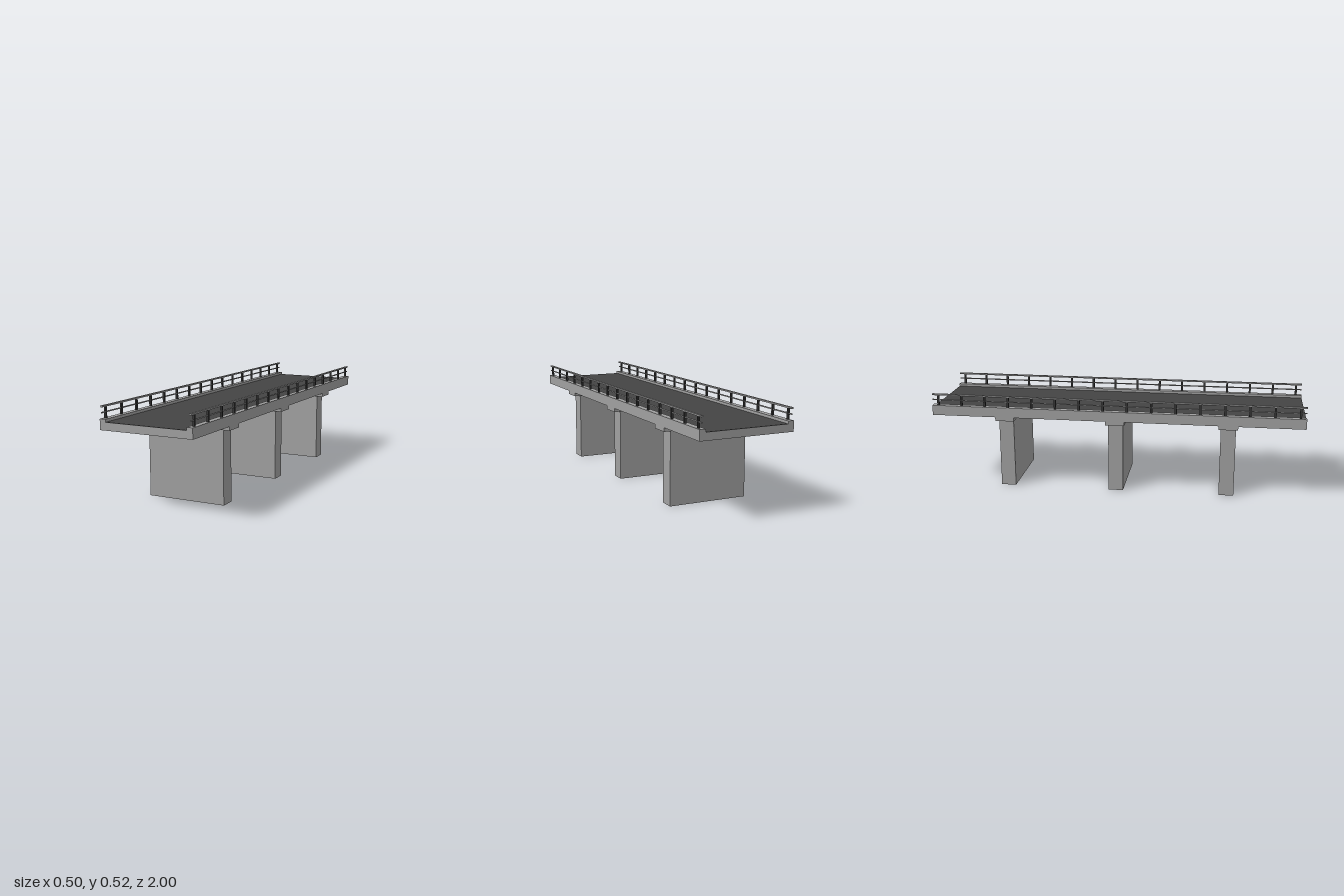
import * as THREE from 'three';

const concrete = new THREE.MeshStandardMaterial({ color: 0xa0a0a0 });
concrete.name = 'concrete';
const asphalt = new THREE.MeshStandardMaterial({ color: 0x444444 });
asphalt.name = 'asphalt';
const darkSteel = new THREE.MeshStandardMaterial({ color: 0x333333 });
darkSteel.name = 'darkSteel';

const LENGTH = 2;
const HALF_WIDTH = 0.252;
const RAIL_X = 0.2405;

// Box given by its base height, so parts stack directly.
function box(name, material, [w, h, d], [x, y, z]) {
  const mesh = new THREE.Mesh(new THREE.BoxGeometry(w, h, d), material);
  mesh.name = name;
  mesh.position.set(x, y + h / 2, z);
  return mesh;
}

// Cross-section in x and y, extruded along the whole bridge.
function alongBridge(name, material, points) {
  const shape = new THREE.Shape(points.map(([x, y]) => new THREE.Vector2(x, y)));
  const geometry = new THREE.ExtrudeGeometry(shape, { depth: LENGTH, bevelEnabled: false });
  geometry.translate(0, 0, -LENGTH / 2);
  const mesh = new THREE.Mesh(geometry, material);
  mesh.name = name;
  return mesh;
}

function createPier(z) {
  const pier = new THREE.Group();
  pier.name = 'pier';
  pier.add(box('pierWall', concrete, [0.426, 0.38, 0.08], [0, 0, z]));
  pier.add(box('pierCap', concrete, [HALF_WIDTH * 2, 0.02, 0.102], [0, 0.38, z]));
  return pier;
}

function createRailing(side) {
  const railing = new THREE.Group();
  railing.name = side > 0 ? 'leftRailing' : 'rightRailing';
  const x = side * RAIL_X;

  // Posts
  const count = 16;
  for (let i = 0; i < count; i++) {
    const z = -0.968 + (i * 1.936) / (count - 1);
    railing.add(box('post', darkSteel, [0.01, 0.056, 0.011], [x, 0.454, z]));
  }

  // Handrail with tapered underside, and a slim middle rail
  railing.add(alongBridge('handrail', concrete, [
    [x - 0.005, 0.509], [x + 0.005, 0.509], [x + 0.0065, 0.513],
    [x + 0.0065, 0.517], [x - 0.0065, 0.517], [x - 0.0065, 0.513],
  ]));
  railing.add(box('middleRail', concrete, [0.005, 0.006, LENGTH], [x, 0.481, 0]));
  return railing;
}

export function createModel() {
  const bridge = new THREE.Group();
  bridge.name = 'bridge';

  // Deck slab with raised kerbs
  const w = HALF_WIDTH;
  bridge.add(alongBridge('deck', concrete, [
    [-w, 0.4], [w, 0.4], [w, 0.454], [0.22, 0.454],
    [0.22, 0.439], [-0.22, 0.439], [-0.22, 0.454], [-w, 0.454],
  ]));
  bridge.add(box('roadSurface', asphalt, [0.44, 0.001, LENGTH], [0, 0.439, 0]));

  for (const z of [-0.6, 0, 0.6]) bridge.add(createPier(z));
  for (const side of [-1, 1]) bridge.add(createRailing(side));
  return bridge;
}
